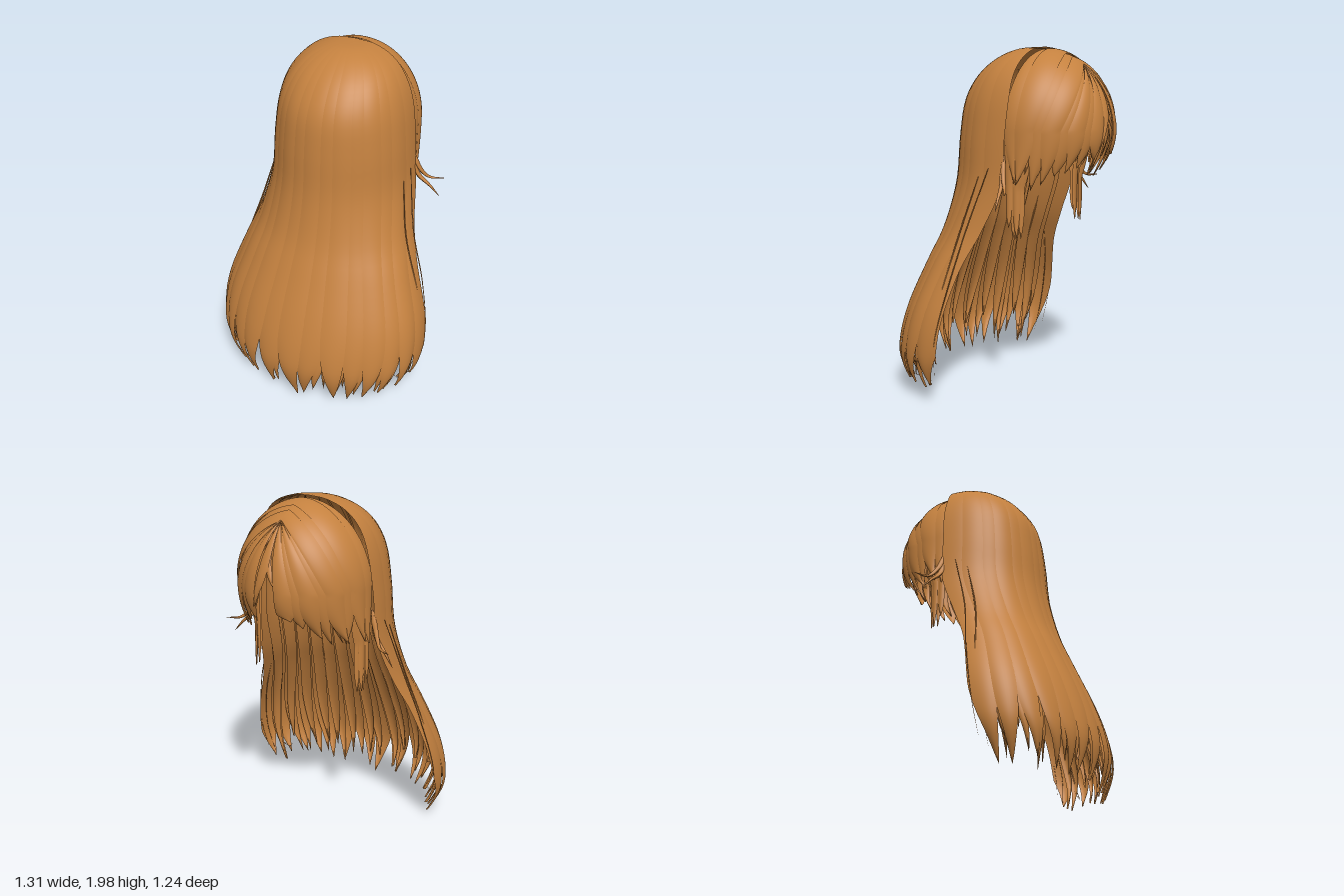
import * as THREE from 'three';

const hair = new THREE.MeshStandardMaterial({ color: 0xc4813f, side: THREE.DoubleSide });
hair.name = 'copper hair';

// Small seeded random in -1..1
let seed = 7;
const rnd = () => {
  seed = (seed * 16807) % 2147483647;
  return (seed / 2147483647) * 2 - 1;
};

// Back hair cross-sections from crown to tips: y, half width, front z, back z
const rows = [
  [2.0, 0.0, -0.22, -0.2], [1.988, 0.13, -0.22, -0.06], [1.935, 0.25, -0.21, 0.06],
  [1.84, 0.332, -0.2, 0.17], [1.7, 0.382, -0.2, 0.25], [1.5, 0.408, -0.19, 0.28],
  [1.25, 0.428, -0.18, 0.3], [1.0, 0.475, -0.08, 0.357], [0.8, 0.545, 0.01, 0.437],
  [0.55, 0.63, 0.07, 0.542], [0.35, 0.655, 0.1, 0.602], [0.2, 0.63, 0.12, 0.61], [0.02, 0.53, 0.13, 0.55],
];
const curveOf = (f) => new THREE.CatmullRomCurve3(rows.map(f), false, 'catmullrom', 0.5);
const outerCurve = curveOf((r) => new THREE.Vector3(r[1], r[0], r[3]));
const frontCurve = curveOf((r) => new THREE.Vector3(0, r[0], r[2]));

// Back surface: a = 0..PI around the back, t = 0 crown .. 1 tips
function backSurface(a, t, r) {
  const o = outerCurve.getPoint(t), zf = frontCurve.getPoint(t).z;
  const s = Math.pow(Math.max(0, Math.sin(a)), 0.8);
  return new THREE.Vector3(o.x * Math.cos(a) * r, o.y, zf + (o.z - zf) * s * r);
}

// Front surface: b = 0 at the side .. PI/2 at the forehead; t = 1 is the dome's rim
function frontSurface(b, t, r) {
  const sz = -Math.min(0.61, Math.max(0.05, Math.sin(b)));
  const d = new THREE.Vector3(0, Math.sqrt(1 - sz * sz), sz)
    .lerp(new THREE.Vector3(Math.cos(b), 0, -Math.sin(b)), Math.min(t, 1)).normalize();
  const fall = Math.max(0, t - 1);
  const pull = 1 - 0.8 * Math.min(fall, 0.7) ** 2;
  return new THREE.Vector3(d.x * 0.388 * r, 1.55 + d.y * 0.44 * r - fall * 0.44, -0.2 + d.z * 0.412 * r * pull);
}
const frontEnd = (y) => 1 + (1.55 - y) / 0.44;

// Ribbon on a surface, arching more towards its end and narrowing to a point from taperAt
function strand(name, surface, { u, half, end, taperAt, lift = 0, bump = 0.03, sway = 0, side = 1 }) {
  const across = 8, along = 48, pos = [], index = [];
  for (let i = 0; i <= along; i++) {
    const t = (i / along) * end;
    const k = Math.max(0, (t - taperAt) / (end - taperAt));
    const w = half * Math.pow(Math.max(0, Math.cos((k * Math.PI) / 2)), 0.8);
    const arch = bump * (0.3 + 0.7 * (t / end) ** 2);
    for (let j = 0; j <= across; j++) {
      const s = (j / across) * 2 - 1;
      const p = surface(u + s * w + sway * k * k, t, 1 + lift + arch * (1 - s * s));
      pos.push(p.x * side, p.y, p.z);
      if (i < along && j < across) {
        const a = i * (across + 1) + j, b = a + across + 1;
        index.push(a, b, a + 1, a + 1, b, b + 1);
      }
    }
  }
  const g = new THREE.BufferGeometry();
  g.setAttribute('position', new THREE.Float32BufferAttribute(pos, 3));
  g.setIndex(index);
  g.computeVertexNormals();
  const m = new THREE.Mesh(g, hair);
  m.name = name;
  return m;
}

// Tapered tube for flicks and stray hairs
function wisp(name, points, radius, side) {
  const curve = new THREE.CatmullRomCurve3(points.map(([x, y, z]) => new THREE.Vector3(x * side, y, z)));
  const n = 24, sides = 6;
  const g = new THREE.TubeGeometry(curve, n, radius, sides);
  const p = g.attributes.position, v = new THREE.Vector3();
  for (let i = 0; i <= n; i++) {
    const c = curve.getPointAt(i / n);
    const f = Math.pow(1 - i / n, 0.7) * Math.min(1, 0.3 + (i / n) * 3);
    for (let j = 0; j <= sides; j++) {
      const q = i * (sides + 1) + j;
      v.fromBufferAttribute(p, q).sub(c).multiplyScalar(f).add(c);
      p.setXYZ(q, v.x, v.y, v.z);
    }
  }
  g.computeVertexNormals();
  const m = new THREE.Mesh(g, hair);
  m.name = name;
  return m;
}

export function createModel() {
  const model = new THREE.Group();
  model.name = 'longHair';
  const part = (name) => {
    const g = new THREE.Group();
    g.name = name;
    model.add(g);
    return g;
  };

  // Long outer locks over the back
  const back = part('backHair');
  const n = 15, half = Math.PI / n / 2;
  for (let i = 0; i < n; i++) {
    const u = half * (2 * i + 1), edge = Math.abs(Math.cos(u));
    back.add(strand('backLock', backSurface, {
      u, half: half * 1.2, end: i === 7 ? 1 : 0.985 - 0.02 * edge + 0.015 * rnd(),
      taperAt: 0.72 + 0.05 * rnd(), lift: -0.012 + (i % 2) * 0.006, bump: 0.018, sway: 0.08 * rnd(),
    }));
  }

  // Slimmer locks between them, then a looser layer further in
  const inner = part('innerBackHair');
  for (let i = 1; i < n; i++) {
    inner.add(strand('betweenLock', backSurface, {
      u: half * 2 * i, half: half * 0.85, end: 0.965 + 0.025 * rnd(),
      taperAt: 0.68 + 0.05 * rnd(), lift: -0.035, bump: 0.02, sway: 0.08 * rnd(),
    }));
    inner.add(strand('innerLock', backSurface, {
      u: half * (2 * i + 0.5 * rnd()), half: half * 0.9, end: 0.93 + 0.04 * rnd(),
      taperAt: 0.55 + 0.06 * rnd(), lift: -0.08, bump: 0.03, sway: 0.08 * rnd(),
    }));
  }

  const fringe = part('fringe');
  const locks = part('sideLocks');
  const flicks = part('sideFlicks');
  const strays = part('strayHairs');
  for (const side of [1, -1]) {
    // Fringe swept from the parting to the temples, with a ragged layer under it
    for (let i = 0; i < 8; i++) {
      const u = 0.06 + i * 0.175;
      const tip = u < 0.6 ? 1.25 : 1.25 + (u - 0.6) * 0.2;
      fringe.add(strand('fringeLock', frontSurface, {
        u, half: 0.125, end: frontEnd(tip + 0.03 * rnd()), taperAt: 1.1 + 0.15 * rnd(),
        lift: -0.012 + (i % 2) * 0.02, sway: 0.1 * rnd(), side,
      }));
      fringe.add(strand('underFringeLock', frontSurface, {
        u: u + 0.08, half: 0.08, end: frontEnd(tip + 0.05 + 0.05 * rnd()), taperAt: 0.9 + 0.1 * rnd(),
        lift: -0.05, sway: 0.12 * rnd(), side,
      }));
    }

    // Longer locks in front of the ears
    for (let i = 0; i < 4; i++) {
      locks.add(strand('sideLock', frontSurface, {
        u: 0.01 + i * 0.09, half: 0.075, end: frontEnd(i === 0 ? 1.03 : 0.97), taperAt: 1.95,
        lift: -0.03 - 0.02 * (i % 2), bump: 0.02, side,
      }));
    }

    // Outward flicks at the sides
    flicks.add(wisp('upperFlick', [[0.39, 1.42, -0.18], [0.43, 1.31, -0.2], [0.48, 1.24, -0.24], [0.565, 1.23, -0.285]], 0.019, side));
    flicks.add(wisp('lowerFlick', [[0.39, 1.38, -0.17], [0.43, 1.27, -0.19], [0.5, 1.2, -0.21], [0.555, 1.135, -0.225]], 0.019, side));

    // Loose hairs and curled ends
    strays.add(wisp('looseHair', [[0.42, 1.35, -0.1], [0.5, 1.0, 0], [0.59, 0.72, 0.05], [0.65, 0.4, 0.11], [0.61, 0.18, 0.14]], 0.005, side));
    strays.add(wisp('looseHair', [[0.41, 1.3, -0.03], [0.475, 1.0, 0.05], [0.6, 0.62, 0.11], [0.64, 0.35, 0.16], [0.58, 0.13, 0.18]], 0.005, side));
    strays.add(wisp('curledEnd', [[0.57, 0.6, 0.2], [0.62, 0.35, 0.23], [0.62, 0.22, 0.26], [0.56, 0.16, 0.29], [0.52, 0.2, 0.27]], 0.006, side));
  }

  // Slim locks crossing the middle of the forehead
  fringe.add(strand('partingLock', frontSurface, {
    u: Math.PI / 2, half: 0.13, end: frontEnd(1.46), taperAt: 0.25, lift: 0, sway: -0.2,
  }));
  fringe.add(strand('partingLock', frontSurface, {
    u: Math.PI / 2 - 0.05, half: 0.1, end: frontEnd(1.54), taperAt: 0.2, lift: -0.03, sway: 0.3,
  }));
  return model;
}
